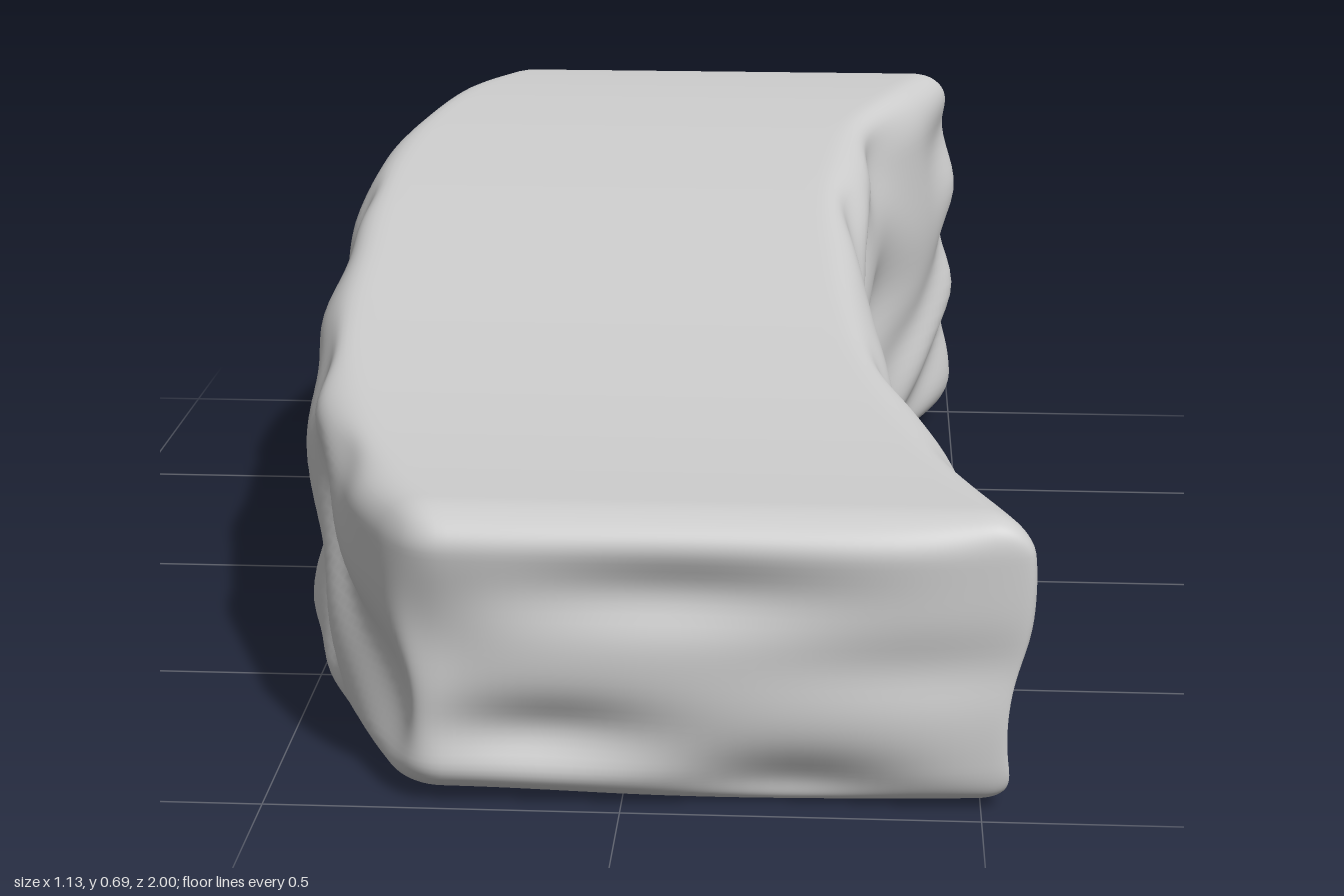
import * as THREE from 'three';
import { mergeVertices } from 'three/addons/utils/BufferGeometryUtils.js';

// Outline values sampled evenly from the back (z = -1) to the front (z = 1)
const CONVEX = [-0.36, -0.47, -0.528, -0.556, -0.56, -0.554, -0.55, -0.53, -0.482, -0.41, -0.325];
const CONCAVE = [0.515, 0.452, 0.372, 0.342, 0.33, 0.342, 0.362, 0.395, 0.447, 0.515, 0.59];
const TOP = [0.698, 0.69, 0.668, 0.638, 0.603, 0.565, 0.527, 0.492, 0.463, 0.443, 0.433];

// Smooth interpolation of an evenly sampled list
function sample(list, z) {
  const t = THREE.MathUtils.clamp((z + 1) / 2, 0, 1) * (list.length - 1);
  const i = Math.min(Math.floor(t), list.length - 2);
  const f = t - i;
  const a = list[Math.max(i - 1, 0)], b = list[i], c = list[i + 1], d = list[Math.min(i + 2, list.length - 1)];
  return b + 0.5 * f * (c - a + f * (2 * a - 5 * b + 4 * c - d + f * (3 * (b - c) + d - a)));
}

// Soft dent, depth 1 at its centre
const dent = (a, b, wa, wb) => Math.exp(-((a / wa) ** 2) - (b / wb) ** 2);
const wave = (t) => 0.5 + 0.5 * Math.sin(t);

// Hollows of the long sides: broken diagonal streaks, deeper lumps on the convex side
function sideHollow(x, y, z, convex) {
  const streak = wave((y + 0.38 * z) * 25 + 1.8 * Math.sin(z * 8 + y * 5));
  const broken = wave(z * 15 + y * 8 + 1.2 * Math.sin(y * 13 - z * 4));
  const d = 0.01 * streak + 0.022 * streak * broken;
  // The concave side draws in below towards the front corner
  const foot = 0.03 * dent(z - 1, y - 0.06, 0.25, 0.16);
  return convex ? d + 0.012 * wave(z * 17 - y * 7) : d + foot;
}

// Hollows of the two ends
function endHollow(x, y, z) {
  if (z > 0) {
    return 0.026 * dent(x - 0.08, y - 0.32, 0.22, 0.05)
      + 0.032 * dent(x + 0.1, y - 0.115, 0.16, 0.05)
      + 0.03 * dent(x + 0.3, y - 0.25, 0.1, 0.09)
      + 0.045 * dent(x - 0.24, y - 0.03, 0.17, 0.06)
      + 0.035 * dent(x - 0.6, 0, 0.15, 1)
      + 0.012 * dent(x - 0.4, y - 0.22, 0.2, 0.05);
  }
  return 0.014 * dent(x - 0.2, y - 0.3, 0.1, 0.4)
    + 0.014 * dent(x + 0.12, y - 0.5, 0.12, 0.1)
    + 0.016 * dent(x - 0.5, 0, 0.12, 1)
    + 0.02 * Math.max(0, y - 0.5) / 0.2
    + 0.014 * dent(0, y, 1, 0.12)
    + 0.007 * wave(x * 14 + y * 9);
}

function stoneGeometry() {
  let geo = new THREE.BoxGeometry(2, 2, 2, 48, 40, 110);
  geo.deleteAttribute('uv');
  geo.deleteAttribute('normal');
  geo = mergeVertices(geo, 1e-5);

  const half = new THREE.Vector3(0.44, 0.29, 1);
  const r = 0.08;
  const inner = half.clone().subScalar(r);
  const outer = inner.clone().negate();
  const p = new THREE.Vector3(), core = new THREE.Vector3(), n = new THREE.Vector3();
  // Crowd the rows towards the edges so the rounding stays smooth
  const crowd = (t) => 0.35 * t + 0.65 * Math.sin((t * Math.PI) / 2);
  const pos = geo.attributes.position;

  for (let i = 0; i < pos.count; i++) {
    // Rounded block
    p.fromBufferAttribute(pos, i);
    p.set(crowd(p.x), crowd(p.y), crowd(p.z)).multiply(half);
    core.copy(p).clamp(outer, inner);
    n.copy(p).sub(core).normalize();
    p.copy(core).addScaledVector(n, r);

    // Bend to the curved plan and slope the top
    const z = p.z;
    const x = THREE.MathUtils.lerp(sample(CONVEX, z), sample(CONCAVE, z), (p.x / half.x + 1) / 2);
    const base = 0.011 + 0.005 * Math.sin(x * 7 - z * 4 + 1);
    const y = THREE.MathUtils.lerp(base, sample(TOP, z), (p.y / half.y + 1) / 2);

    // Carve the sides inward, leaving top and bottom plain
    const side = sideHollow(x, y, z, n.x < 0) * n.x * Math.abs(n.x);
    const end = endHollow(x, y, z) * n.z * Math.abs(n.z);
    pos.setXYZ(i, x - side, y, z - end);
  }
  geo.computeVertexNormals();
  return geo;
}

export function createModel() {
  const group = new THREE.Group();
  group.name = 'curvedStone';
  const stone = new THREE.Mesh(stoneGeometry(), new THREE.MeshStandardMaterial({ color: 0xcccccc }));
  stone.name = 'stoneBlock';
  group.add(stone);
  return group;
}
